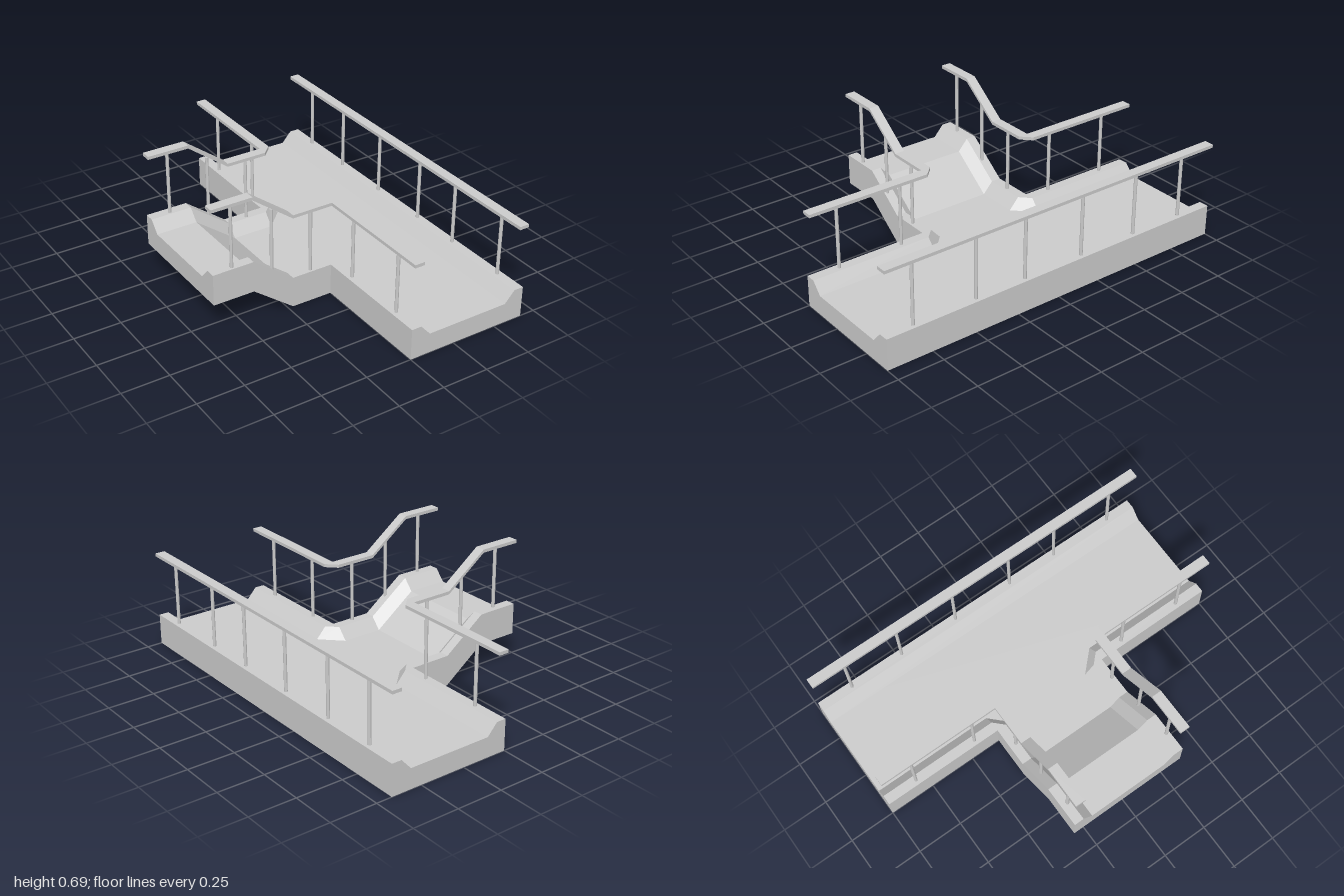
import * as THREE from 'three';

const FLOOR = 0.107, CURB = 0.167, W = 0.053, SLOPE = 0.107;
const HALF = 1 / 3, END = 2 / 3;
const RAIL_LOW = 0.503, RAIL_HIGH = 0.52;

const material = new THREE.MeshStandardMaterial({ color: 0xcccccc, flatShading: true });

function addMesh(parent, name, geometry) {
  const mesh = new THREE.Mesh(geometry, material);
  mesh.name = name;
  parent.add(mesh);
  return mesh;
}

// Skins a convex section [inward, height] along stations { x, y, z, nx, nz }
function loft(section, stations) {
  const n = section.length;
  const rings = stations.map((s) => section.map(([u, h]) =>
    [s.x + s.nx * u, s.y + h, s.z + s.nz * u]));
  const positions = [];
  const tri = (...corners) => corners.forEach((p) => positions.push(...p));
  for (let i = 0; i < rings.length - 1; i++) {
    for (let j = 0; j < n; j++) {
      const k = (j + 1) % n;
      const a = rings[i][j], b = rings[i][k], c = rings[i + 1][k], d = rings[i + 1][j];
      tri(a, d, c);
      tri(a, c, b);
    }
  }
  const first = rings[0], last = rings[rings.length - 1];
  for (let j = 1; j < n - 1; j++) {
    tri(first[0], first[j], first[j + 1]);
    tri(last[0], last[j + 1], last[j]);
  }
  const geometry = new THREE.BufferGeometry();
  geometry.setAttribute('position', new THREE.Float32BufferAttribute(positions, 3));
  geometry.computeVertexNormals();
  return geometry;
}

// Ground level of the side ramp at x
function rampY(x) {
  return THREE.MathUtils.clamp((-x - 0.222) / 0.222, 0, 1) * CURB;
}

// Outer edge path: along the ramp, round the corner, along the deck
function edgePath(side) {
  const path = [-END, -0.444, -0.222, 0].map((x) =>
    ({ x, y: rampY(x), z: side * HALF, nx: 0, nz: -side }));
  for (const z of [HALF, 1]) path.push({ x: 0, y: 0, z: side * z, nx: 1, nz: 0 });
  return side > 0 ? path : path.reverse();
}

function addPost(parent, x, base, z) {
  const height = RAIL_LOW - CURB;
  const post = addMesh(parent, 'railPost', new THREE.CylinderGeometry(0.009, 0.009, height, 8));
  post.position.set(x, base + CURB + height / 2 - 0.004, z);
}

export function createModel() {
  const model = new THREE.Group();
  model.name = 'walkwayJunction';

  // Main deck slab
  const deck = addMesh(model, 'deckFloor', new THREE.BoxGeometry(END, FLOOR, 2));
  deck.position.set(END / 2, FLOOR / 2, 0);

  // Side ramp slab, extruded from its side profile
  const stops = [-END, -0.444, -0.222, 0];
  const profile = new THREE.Shape([
    ...stops.map((x) => new THREE.Vector2(x, rampY(x))),
    ...[...stops].reverse().map((x) => new THREE.Vector2(x, rampY(x) + FLOOR)),
  ]);
  const ramp = new THREE.ExtrudeGeometry(profile, { depth: 2 * HALF, bevelEnabled: false });
  ramp.translate(0, 0, -HALF);
  addMesh(model, 'rampFloor', ramp);

  const curbSection = [[0, FLOOR], [0, CURB], [W, CURB], [SLOPE, FLOOR]];
  const railSection = [[0, RAIL_LOW], [0, RAIL_HIGH], [W, RAIL_HIGH], [W, RAIL_LOW]];

  // Straight curb and rail on the far edge
  const straight = [1, -1].map((z) => ({ x: END, y: 0, z, nx: -1, nz: 0 }));
  addMesh(model, 'straightCurb', loft(curbSection, straight));
  addMesh(model, 'straightHandrail', loft(railSection, straight));
  for (const z of [0.84, 0.485, 0.195, -0.155, -0.497, -0.807]) addPost(model, 0.64, 0, z);

  // Bent curbs and rails on both sides of the ramp
  for (const side of [1, -1]) {
    const half = new THREE.Group();
    half.name = side > 0 ? 'frontRailing' : 'backRailing';
    addMesh(half, 'bentCurb', loft(curbSection, edgePath(side)));
    addMesh(half, 'bentHandrail', loft(railSection, edgePath(side)));
    const rampZ = side > 0 ? 0.315 : -0.297;
    for (const x of [-0.555, -0.333, -0.111]) addPost(half, x, rampY(x), rampZ);
    for (const z of side > 0 ? [0.84, 0.48] : [-0.46, -0.82]) addPost(half, 0.027, 0, z);
    model.add(half);
  }
  return model;
}
